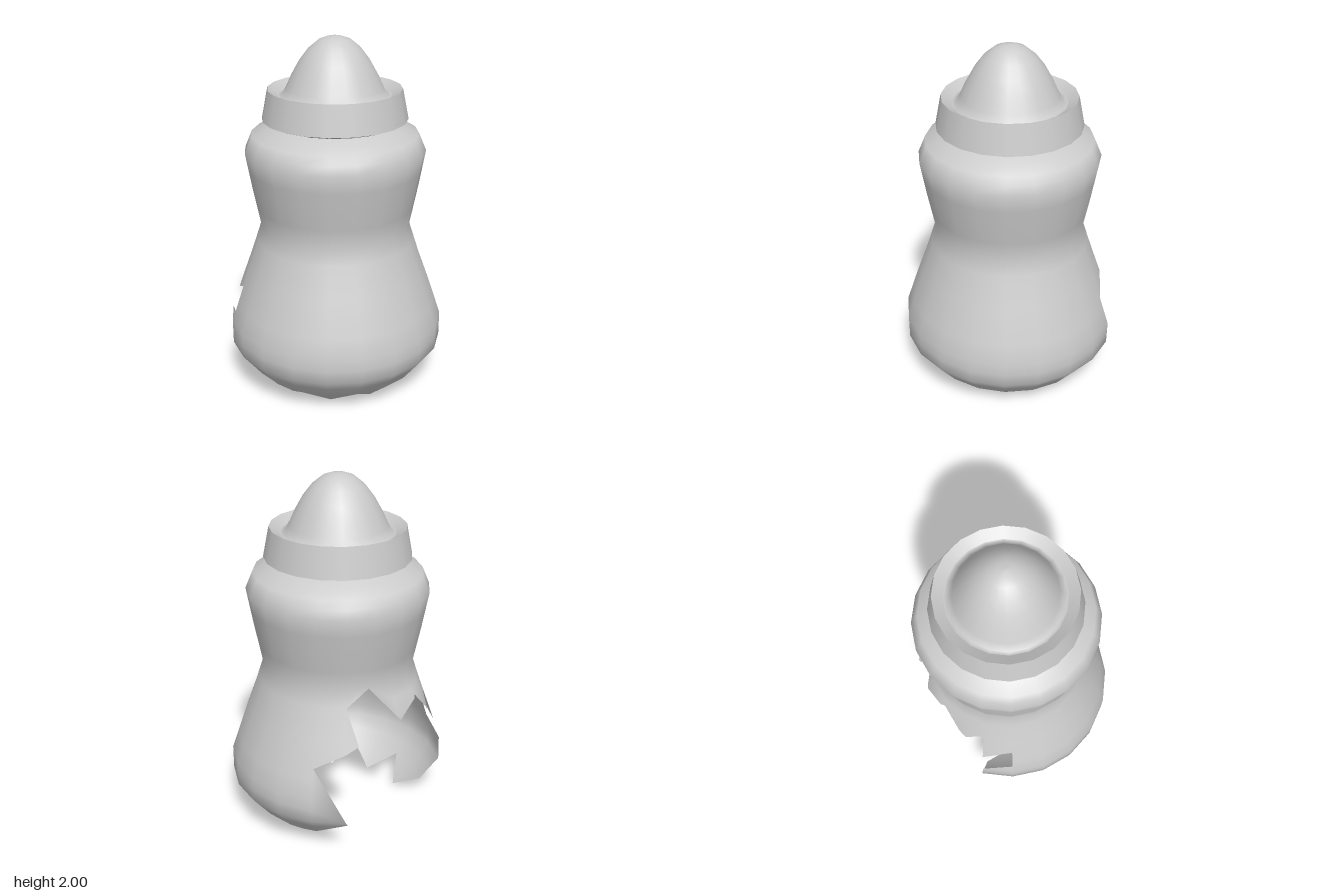
import * as THREE from 'three';

const SIDES = 20, STEP = 360 / SIDES, AXIS_Z = -0.055;
const rad = THREE.MathUtils.degToRad, clamp = THREE.MathUtils.clamp, lerp = THREE.MathUtils.lerp;
const material = new THREE.MeshStandardMaterial({ color: 0xcccccc, side: THREE.DoubleSide });

// Body silhouette: [radius, height], bottom to top
const PROFILE = [[0.37, 0], [0.5, 0.11], [0.61, 0.25], [0.61, 0.39], [0.54, 0.6], [0.475, 0.78],
  [0.42, 0.95], [0.465, 1.18], [0.5, 1.38], [0.46, 1.475], [0.33, 1.535]];
const TOP = 1.535;

// Broken opening: [degrees from the back towards +x, height]
const HOLE = [[-36, -0.1], [-36, 0.25], [-37, 0.39], [-54, 0.45], [-54, 0.6], [-36, 0.52], [-35, 0.73],
  [-23, 0.65], [-3, 0.83], [16, 0.75], [36, 0.95], [53, 0.86], [46, 0.66], [72, 0.55], [53, 0.22],
  [72, 0.11], [72, -0.1]];

function radiusAt(b, y) {
  let i = 1;
  while (i < PROFILE.length - 1 && PROFILE[i][1] < y) i++;
  const [r0, y0] = PROFILE[i - 1], [r1, y1] = PROFILE[i];
  const bulge = 0.03 * Math.exp(-(((b - 2) / 20) ** 2) - ((y - 0.78) / 0.09) ** 2);
  return lerp(r0, r1, (y - y0) / (y1 - y0)) + bulge;
}

// Point on the faceted wall
function wallPoint(b, y) {
  const off = b - (Math.floor(b / STEP + 1e-6) + 0.5) * STEP;
  const r = radiusAt(b, y) * Math.cos(rad(STEP / 2)) / Math.cos(rad(off));
  return [r * Math.sin(rad(b)), y, -r * Math.cos(rad(b))];
}

// Smooth normal from the slope of the silhouette
function wallNormal(b, y) {
  const lo = Math.max(0, y - 0.05), hi = Math.min(TOP, y + 0.05);
  const slope = (radiusAt(b, hi) - radiusAt(b, lo)) / (hi - lo);
  return new THREE.Vector3(Math.sin(rad(b)), -slope, -Math.cos(rad(b))).normalize().toArray();
}

// Zigzag lower edge: points on odd steps, notches on even ones
function lowerEdge(b) {
  const t = Math.abs(b / STEP) % 2;
  return lerp(0.11, 0.005, t < 1 ? t : 2 - t);
}

function bodyGeometry() {
  const positions = [], normals = [];
  const add = (...corners) => corners.forEach(([b, y]) => {
    positions.push(...wallPoint(b, y));
    normals.push(...wallNormal(b, y));
  });
  // Rows of the wall, each silhouette segment split in two
  const rows = [];
  PROFILE.forEach(([, y], i) => {
    if (i) rows.push((y + PROFILE[i - 1][1]) / 2);
    rows.push(y);
  });
  rows.sort((p, q) => p - q);
  // Upright slices between the facets and the corners of the opening
  const cuts = new Set(HOLE.map(p => p[0]));
  for (let i = 0; i <= SIDES; i++) cuts.add(-180 + i * STEP);
  const slices = [...cuts].sort((p, q) => p - q);

  for (let s = 0; s < slices.length - 1; s++) {
    const b1 = slices[s], b2 = slices[s + 1], mid = (b1 + b2) / 2;
    // Edges of the opening that cross this slice, from low to high
    const edges = [];
    HOLE.forEach((p, i) => {
      const q = HOLE[(i + 1) % HOLE.length];
      if ((p[0] < mid) === (q[0] < mid)) return;
      const at = b => lerp(p[1], q[1], (b - p[0]) / (q[0] - p[0]));
      edges.push([at(b1), at(b2)]);
    });
    edges.sort((p, q) => p[0] + p[1] - q[0] - q[1]);
    const bounds = [[lowerEdge(b1), lowerEdge(b2)], ...edges, [TOP, TOP]];
    // Fill the solid spans
    for (let k = 0; k < bounds.length; k += 2) {
      const lo = bounds[k], hi = bounds[k + 1];
      if (hi[0] + hi[1] <= lo[0] + lo[1]) continue;
      for (let r = 0; r < rows.length - 1; r++) {
        const [a1, a2] = lo.map((v, i) => clamp(rows[r], v, Math.max(v, hi[i])));
        const [c1, c2] = lo.map((v, i) => clamp(rows[r + 1], v, Math.max(v, hi[i])));
        if (c1 - a1 > 1e-6) add([b2, a2], [b1, a1], [b1, c1]);
        if (c2 - a2 > 1e-6) add([b2, a2], [b1, c1], [b2, c2]);
      }
    }
  }
  const geometry = new THREE.BufferGeometry();
  geometry.setAttribute('position', new THREE.Float32BufferAttribute(positions, 3));
  geometry.setAttribute('normal', new THREE.Float32BufferAttribute(normals, 3));
  return geometry;
}

function lathe(points) {
  return new THREE.LatheGeometry(points.map(p => new THREE.Vector2(...p)), SIDES);
}

export function createModel() {
  const model = new THREE.Group();
  model.name = 'brokenJar';
  const part = (name, geometry) => {
    const mesh = new THREE.Mesh(geometry, material);
    mesh.name = name;
    mesh.position.z = AXIS_Z;
    model.add(mesh);
  };

  part('brokenBody', bodyGeometry());

  // Lid: separate bands keep the edges sharp
  part('lidUnderside', lathe([[0.33, 1.53], [0.4, 1.555]]));
  part('lidBand', lathe([[0.4, 1.555], [0.367, 1.72]]));
  part('lidRim', lathe([[0.367, 1.72], [0.31, 1.685]]));
  part('lidDome', lathe([[0.31, 1.685], [0.29, 1.68], [0.265, 1.725], [0.235, 1.79], [0.19, 1.87],
    [0.14, 1.935], [0.085, 1.98], [0.04, 1.996], [0, 2]]));
  return model;
}
